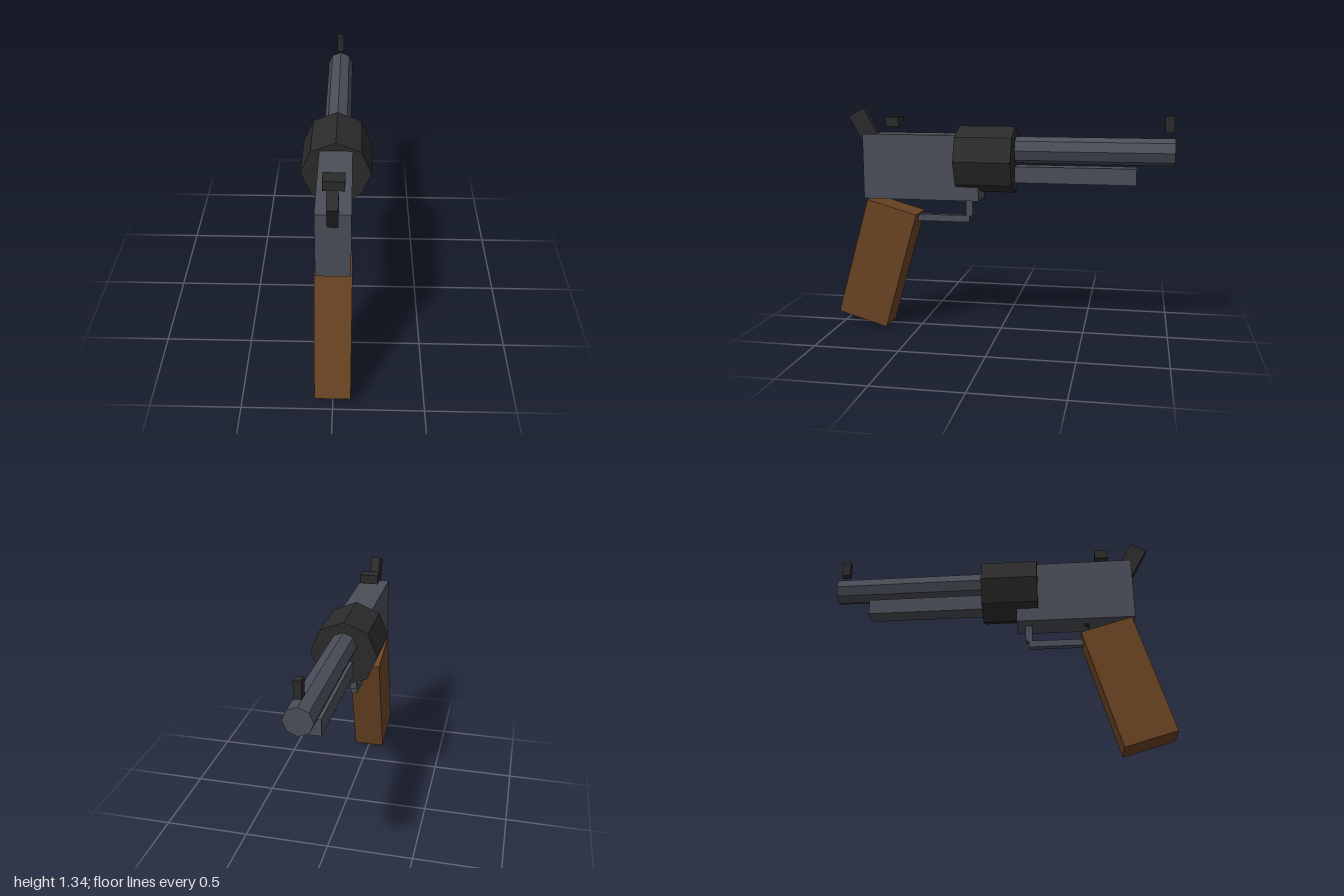
import * as THREE from 'three';

export function createModel() {
  const model = new THREE.Group();
  const make = (name, color) => {
    const m = new THREE.MeshStandardMaterial({ color, flatShading: true });
    m.name = name;
    return m;
  };
  const steel = make('blue grey steel', 0x4a4e58);
  const dark = make('dark metal', 0x2b2b2b);
  const wood = make('brown wood', 0x6b4423);

  const add = (name, geometry, material, y, z, tilt = 0) => {
    const mesh = new THREE.Mesh(geometry, material);
    mesh.name = name;
    mesh.position.set(0, y, z);
    mesh.rotation.x = tilt;
    model.add(mesh);
  };
  // Box centred on x = 0, given its width and its y and z ranges
  const block = (name, material, w, y0, y1, z0, z1) =>
    add(name, new THREE.BoxGeometry(w, y1 - y0, z1 - z0), material, (y0 + y1) / 2, (z0 + z1) / 2);
  // Tilted box
  const tilted = (name, material, w, h, d, y, z, tilt) =>
    add(name, new THREE.BoxGeometry(w, h, d), material, y, z, tilt);
  // Eight-sided bar lying along z
  const octagon = (name, material, r, y, z0, z1) =>
    add(name, new THREE.CylinderGeometry(r, r, z1 - z0, 8).rotateX(Math.PI / 2), material, y, (z0 + z1) / 2);

  // Body and barrel
  block('frame', steel, 0.18, 0.8, 1.185, 0.12, 0.82);
  octagon('cylinder', dark, 0.195, 1.04, -0.085, 0.25);
  octagon('barrel', steel, 0.078, 1.098, -1, -0.09);
  block('barrelLug', steel, 0.11, 0.91, 1.005, -0.79, -0.09);

  // Sights and hammer
  block('frontSight', dark, 0.04, 1.21, 1.305, -0.992, -0.94);
  block('rearSight', dark, 0.112, 1.23, 1.285, 0.605, 0.687);
  tilted('hammer', dark, 0.056, 0.19, 0.105, 1.2275, 0.8325, 0.5);

  // Grip
  tilted('grip', wood, 0.195, 0.735, 0.312, 0.397, 0.75, -0.28);

  // Trigger and its guard
  tilted('trigger', dark, 0.04, 0.12, 0.04, 0.854, 0.55, 0.3);
  block('guardBar', steel, 0.04, 0.66, 0.7, 0.19, 0.53);
  block('guardPost', steel, 0.04, 0.698, 0.8, 0.17, 0.21);

  return model;
}
